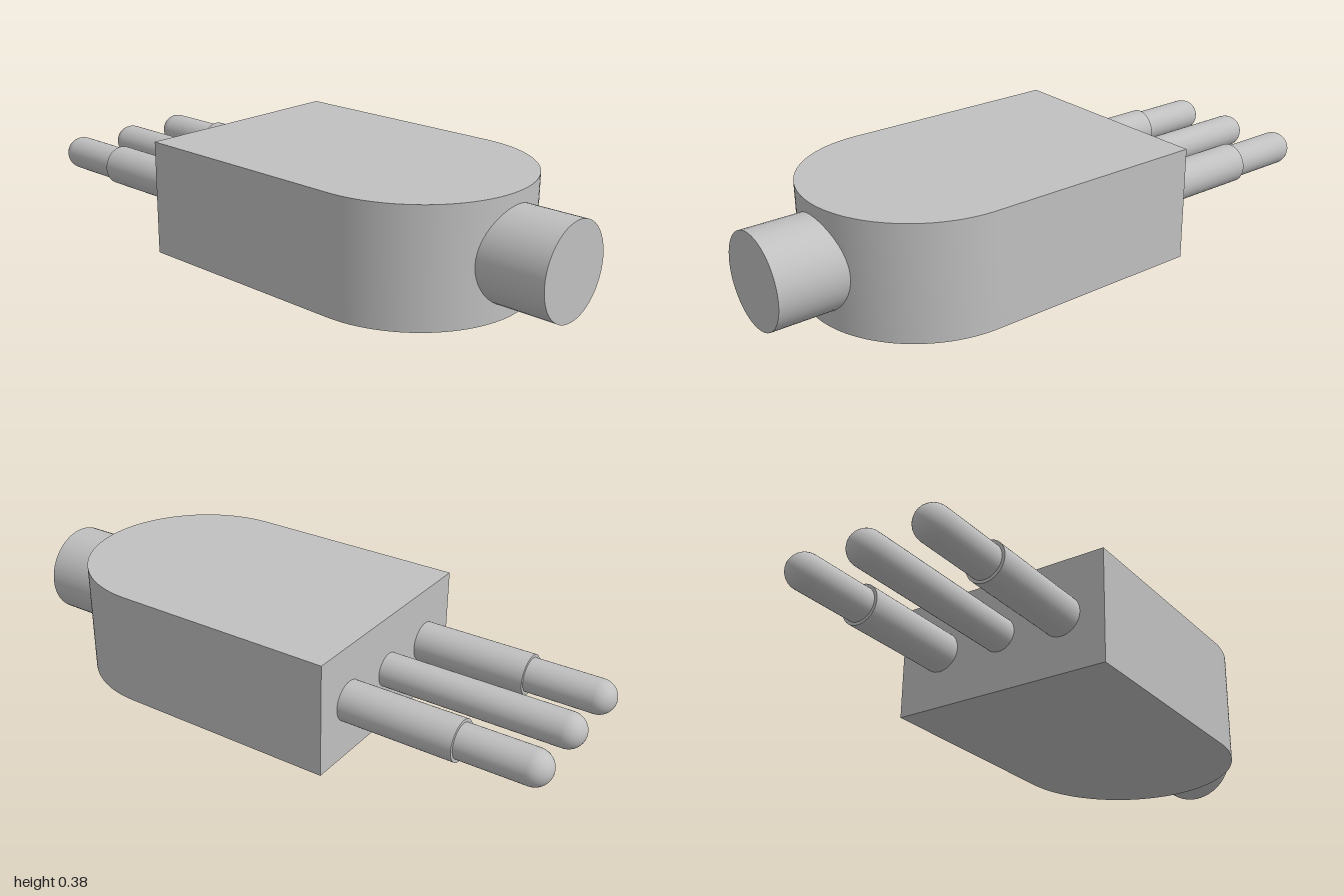
import * as THREE from 'three';
import { toCreasedNormals } from 'three/addons/utils/BufferGeometryUtils.js';

const HEIGHT = 0.381, MID = HEIGHT / 2;
const HALF_WIDTH = 0.38, BACK = -0.333, ARC_Z = 0.426;

export function createModel() {
  const group = new THREE.Group();
  const grey = new THREE.MeshStandardMaterial({ color: 0xc0c0c0 });
  grey.name = 'light grey';

  const add = (name, geometry) => {
    const mesh = new THREE.Mesh(geometry, grey);
    mesh.name = name;
    group.add(mesh);
  };

  // Capped cylinder lying along z
  const rod = (radius, z0, z1, x) =>
    new THREE.CylinderGeometry(radius, radius, z1 - z0, 48)
      .rotateX(Math.PI / 2)
      .translate(x, MID, (z0 + z1) / 2);

  // Housing: flat back, half-round front
  const outline = new THREE.Shape();
  outline.moveTo(-HALF_WIDTH, BACK);
  outline.lineTo(HALF_WIDTH, BACK);
  outline.lineTo(HALF_WIDTH, ARC_Z);
  outline.absarc(0, ARC_Z, HALF_WIDTH, 0, Math.PI, false);
  outline.closePath();
  const housing = new THREE.ExtrudeGeometry(outline, {
    depth: HEIGHT, bevelEnabled: false, curveSegments: 32,
  });
  housing.rotateX(Math.PI / 2).translate(0, HEIGHT, 0);
  add('housing', toCreasedNormals(housing, 0.6));

  // Cable stub at the front
  add('cableStub', rod(0.152, 0.7, 1, 0));

  // Round-tipped pins at the back
  const pinRadius = 0.057;
  const profile = [new THREE.Vector2(pinRadius, 0.32)];
  for (let i = 0; i <= 12; i++) {
    const a = (i / 12) * Math.PI / 2;
    profile.push(new THREE.Vector2(
      i === 12 ? 0 : pinRadius * Math.cos(a),
      1 - pinRadius + pinRadius * Math.sin(a)));
  }
  for (const [name, x] of [['rightPin', -0.228], ['earthPin', 0], ['leftPin', 0.228]]) {
    add(name, new THREE.LatheGeometry(profile, 40).rotateX(-Math.PI / 2).translate(x, MID, 0));
    // Thicker sleeve around the outer pins
    if (x !== 0) add(name + 'Sleeve', rod(0.067, -0.717, -0.32, x));
  }

  return group;
}
